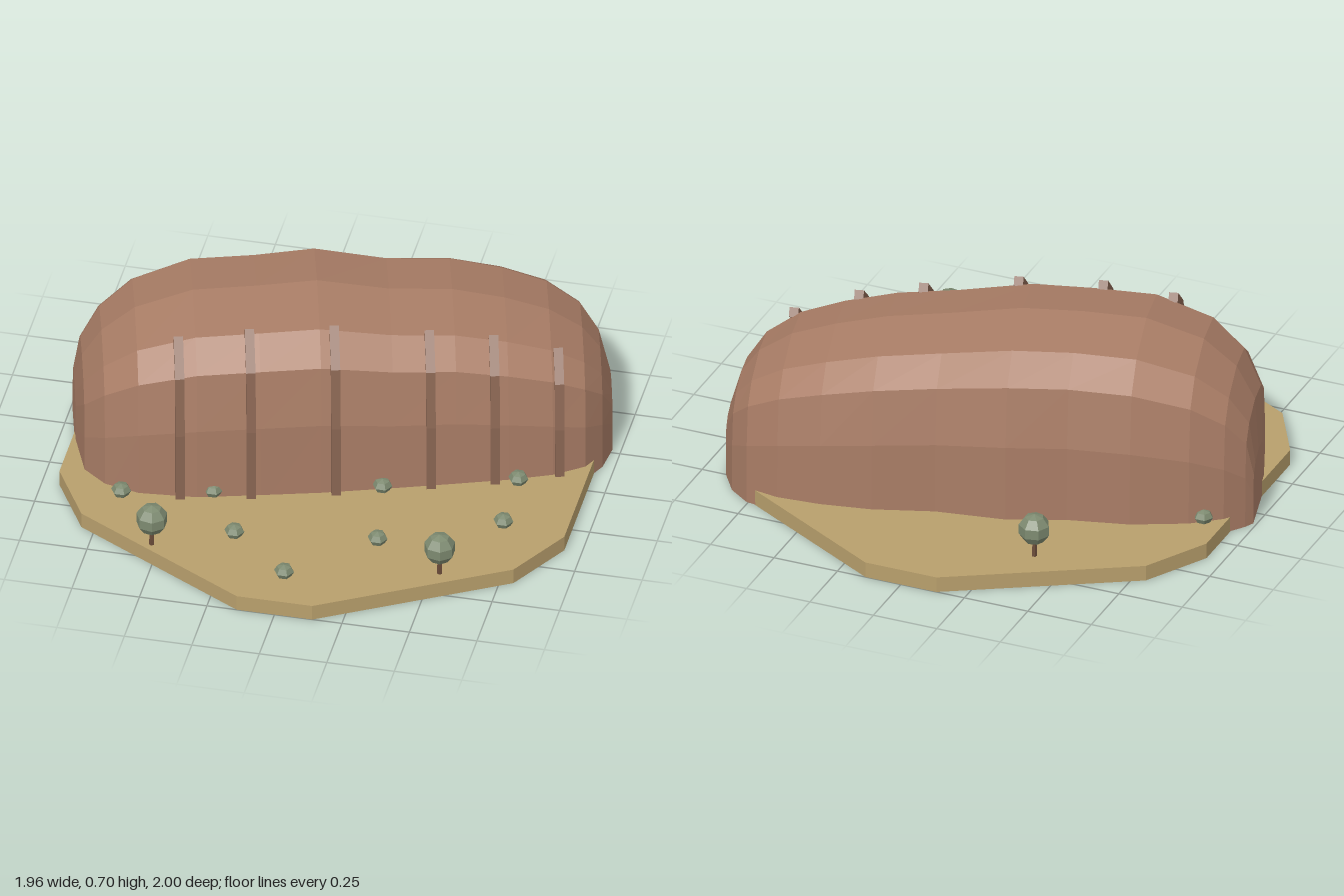
import * as THREE from 'three';

const mat = (name, color, flatShading = true) => {
  const m = new THREE.MeshStandardMaterial({ color, flatShading });
  m.name = name;
  return m;
};

// Loaf stations: position along the axis, centre offset, half width, height
const STATIONS = [
  [-0.935, -0.2, 0.13, 0.24], [-0.91, -0.12, 0.24, 0.4], [-0.84, -0.103, 0.315, 0.52],
  [-0.72, -0.098, 0.373, 0.62], [-0.51, -0.1, 0.41, 0.69], [-0.28, -0.102, 0.408, 0.7],
  [-0.06, -0.12, 0.42, 0.705], [0.2, -0.118, 0.4, 0.662], [0.43, -0.137, 0.4, 0.64],
  [0.62, -0.14, 0.386, 0.595], [0.78, -0.138, 0.36, 0.54], [0.9, -0.135, 0.31, 0.46],
  [0.965, -0.135, 0.23, 0.37], [1.005, -0.13, 0.12, 0.23],
];
// Unit cross-section, front foot over the top to the back foot
const HALF = [[1, 0], [0.985, 0.5], [0.89, 0.82], [0.6, 0.945]];
const PROFILE = [...HALF, [0, 1], ...HALF.map(([t, y]) => [-t, y]).reverse()];

function stationAt(s) {
  let i = 0;
  while (i < STATIONS.length - 2 && STATIONS[i + 1][0] < s) i++;
  const a = STATIONS[i], b = STATIONS[i + 1], k = (s - a[0]) / (b[0] - a[0]);
  return a.map((v, n) => v + (b[n] - v) * k);
}

function loafGeometry() {
  const pos = [], idx = [], n = PROFILE.length, last = STATIONS.length - 1;
  for (const [s, c, w, h] of STATIONS)
    for (const [t, y] of PROFILE) pos.push(s, Math.max(y * h, 0.002), c + t * w);
  for (let i = 0; i < last; i++)
    for (let j = 0; j < n; j++) {
      const k = (j + 1) % n;
      const a = i * n + j, b = a + n, c = (i + 1) * n + k, d = i * n + k;
      idx.push(a, b, c, a, c, d);
    }
  // End caps
  for (let j = 1; j < n - 1; j++) {
    idx.push(0, j, j + 1);
    const e = last * n;
    idx.push(e, e + j + 1, e + j);
  }
  const g = new THREE.BufferGeometry();
  g.setAttribute('position', new THREE.Float32BufferAttribute(pos, 3));
  g.setIndex(idx);
  g.computeVertexNormals();
  return g;
}

// Bent strip that follows the front wall up to the shoulder
function ribGeometry(s) {
  const [, c, w, h] = stationAt(s);
  const inner = HALF.map(([t, y]) => [c + t * w - 0.008, Math.max(y * h, 0.05)]);
  const push = [[0.03, 0], [0.03, 0], [0.03, 0.012], [0.018, 0.03]];
  const outer = inner.map(([t, y], i) => [t + push[i][0], y + push[i][1]]);
  const shape = new THREE.Shape([...inner, ...outer.reverse()].map(p => new THREE.Vector2(...p)));
  const width = 0.034;
  const g = new THREE.ExtrudeGeometry(shape, { depth: width, bevelEnabled: false });
  g.translate(0, 0, -width / 2);
  g.rotateY(-Math.PI / 2);
  g.translate(s, 0, 0);
  return g;
}

export function createModel() {
  const model = new THREE.Group();
  model.name = 'rockOutcrop';
  const sand = mat('sand', 0xb89f6c);
  const rock = mat('redRock', 0xa87c65);
  const ribStone = mat('darkRock', 0x886451);
  const leaf = mat('greyGreenLeaf', 0x7d8a70);
  const bark = mat('bark', 0x6b4c3a);

  const add = (parent, name, geo, material, x = 0, y = 0, z = 0) => {
    const m = new THREE.Mesh(geo, material);
    m.name = name;
    m.position.set(x, y, z);
    parent.add(m);
    return m;
  };

  // Ground slab, twelve corners
  const quarter = [[0.935, 0.38], [0.8, 0.62], [0.14, 1]];
  const half = [...quarter, ...quarter.map(([x, y]) => [-x, y]).reverse()];
  const outline = [...half, ...half.map(([x, y]) => [-x, -y])];
  const slab = new THREE.ExtrudeGeometry(
    new THREE.Shape(outline.map(p => new THREE.Vector2(...p))), { depth: 0.06, bevelEnabled: false });
  slab.rotateX(-Math.PI / 2);
  add(model, 'groundSlab', slab, sand);

  // Rock body with its ribs, turned on the slab
  const outcrop = new THREE.Group();
  outcrop.name = 'outcrop';
  outcrop.rotation.y = 0.26;
  model.add(outcrop);
  add(outcrop, 'rockBody', loafGeometry(), rock);
  for (const s of [-0.572, -0.315, -0.008, 0.337, 0.57, 0.805])
    add(outcrop, 'rockRib', ribGeometry(s), ribStone);

  // Trees
  const crown = new THREE.SphereGeometry(0.06, 7, 5);
  const trunk = new THREE.CylinderGeometry(0.008, 0.01, 0.08, 5);
  for (const [x, z] of [[-0.51, 0.75], [0.545, 0.7], [-0.4, -0.71]]) {
    const tree = new THREE.Group();
    tree.name = 'tree';
    tree.position.set(x, 0, z);
    model.add(tree);
    add(tree, 'trunk', trunk, bark, 0, 0.095, 0);
    add(tree, 'crown', crown, leaf, 0, 0.172, 0);
  }

  // Low shrubs, some tucked against the rock
  const bush = new THREE.SphereGeometry(0.037, 6, 4);
  bush.scale(1, 0.75, 1);
  const spots = [[-0.685, 0.475], [-0.23, 0.635], [0, 0.84], [0.285, 0.565], [0.705, 0.36],
    [-0.86, -0.235], [0.23, 0.24], [0.7, 0.09], [-0.36, 0.4]];
  for (const [x, z] of spots) add(model, 'shrub', bush, leaf, x, 0.083, z);

  return model;
}
